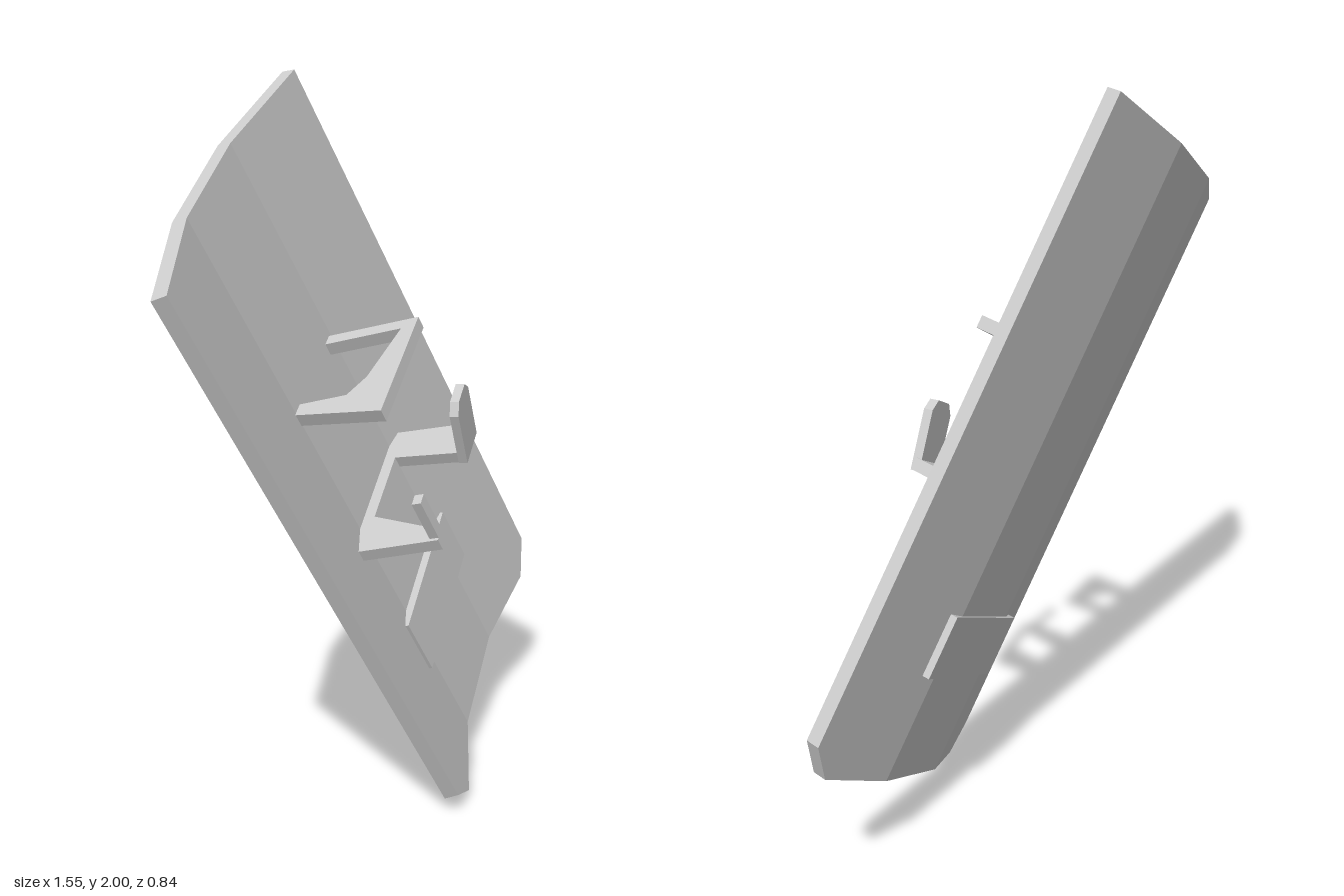
import * as THREE from 'three';

const material = new THREE.MeshStandardMaterial({ color: 0xcccccc, flatShading: true });

function add(parent, name, geometry) {
  const mesh = new THREE.Mesh(geometry, material);
  mesh.name = name;
  parent.add(mesh);
  return mesh;
}

function shapeOf(points) {
  return new THREE.Shape(points.map(([x, y]) => new THREE.Vector2(x, y)));
}

// Extrude a (width, depth) profile down the shield's long axis from height top
function bracket(points, top, height) {
  const g = new THREE.ExtrudeGeometry(shapeOf(points), { depth: height, bevelEnabled: false });
  return g.rotateX(Math.PI / 2).translate(0, top, 0);
}

// Three flat facets bent around the long axis, with the lower corners cut off
function shieldGeometry() {
  const top = 0.9125, thickness = 0.04, bend = 0.225;
  // across, depth, lower edge, facing angle
  const columns = [
    [-0.515, 0, -0.828, -bend], [-0.43, -0.0193, -top, -bend], [-0.172, -0.078, -top, -bend / 2],
    [0.172, -0.078, -top, bend / 2], [0.43, -0.0193, -top, bend], [0.515, 0, -0.828, bend],
  ].map(([w, n, low, a]) => {
    const ow = w + thickness * Math.sin(a), on = n - thickness * Math.cos(a);
    return { fb: [w, low, n], ft: [w, top, n], bb: [ow, low, on], bt: [ow, top, on] };
  });
  const positions = [];
  const quad = (a, b, c, d) => positions.push(...a, ...b, ...c, ...a, ...c, ...d);
  for (let i = 0; i < columns.length - 1; i++) {
    const l = columns[i], r = columns[i + 1];
    quad(l.fb, r.fb, r.ft, l.ft); // inner face
    quad(r.bb, l.bb, l.bt, r.bt); // outer face
    quad(l.ft, r.ft, r.bt, l.bt); // upper rim
    quad(l.bb, r.bb, r.fb, l.fb); // lower rim
  }
  const first = columns[0], last = columns[columns.length - 1];
  quad(first.bb, first.fb, first.ft, first.bt);
  quad(last.fb, last.bb, last.bt, last.ft);
  const g = new THREE.BufferGeometry();
  g.setAttribute('position', new THREE.Float32BufferAttribute(positions, 3));
  g.computeVertexNormals();
  return g;
}

export function createModel() {
  const model = new THREE.Group();
  model.name = 'shield';

  // Tilted frame: x across the shield, y along it, z out of the hollow side
  const tilted = new THREE.Group();
  tilted.name = 'tiltedShield';
  const up = new THREE.Vector3(-0.4986, 0.863, 0.08).normalize();
  const out = new THREE.Vector3(0.632, 0.428, -0.646).cross(up).normalize();
  const across = new THREE.Vector3().crossVectors(up, out);
  tilted.quaternion.setFromRotationMatrix(new THREE.Matrix4().makeBasis(across, up, out));
  tilted.position.set(0.03, 0.9925, 0.0095);
  model.add(tilted);

  add(tilted, 'shieldPanel', shieldGeometry());

  // Flat plate set through the lower part of the panel
  add(tilted, 'lowerPlate', new THREE.BoxGeometry(0.464, 0.176, 0.07)).position.set(0, -0.523, -0.09);

  // Upper grip: bar on two legs
  add(tilted, 'upperHandle', bracket([
    [-0.175, -0.1], [-0.135, -0.1], [-0.133, 0.058], [-0.069, 0.1], [0.122, 0.15],
    [0.122, -0.1], [0.16, -0.1], [0.16, 0.192], [-0.228, 0.182],
  ], 0.3, 0.036));

  // Lower bracket: base strip with a tapered arm and a wide arm
  add(tilted, 'lowerBracket', bracket([
    [-0.265, -0.08], [0.23, -0.08], [0.213, 0.172], [0.085, 0.172], [0.115, -0.045],
    [-0.13, -0.045], [-0.225, 0.176], [-0.265, 0.176],
  ], -0.113, 0.034));

  // Narrow post on the tapered arm
  add(tilted, 'armPost', new THREE.BoxGeometry(0.036, 0.15, 0.026)).position.set(-0.238, -0.065, 0.163);

  // Leaning pad with cut corners on the wide arm
  const pad = add(tilted, 'armPad', new THREE.ExtrudeGeometry(shapeOf([
    [0.08, 0], [0.212, 0], [0.212, 0.165], [0.185, 0.195], [0.108, 0.195], [0.08, 0.165],
  ]), { depth: 0.025, bevelEnabled: false }));
  pad.position.set(0, -0.143, 0.148);
  pad.rotation.x = 0.23;

  return model;
}
